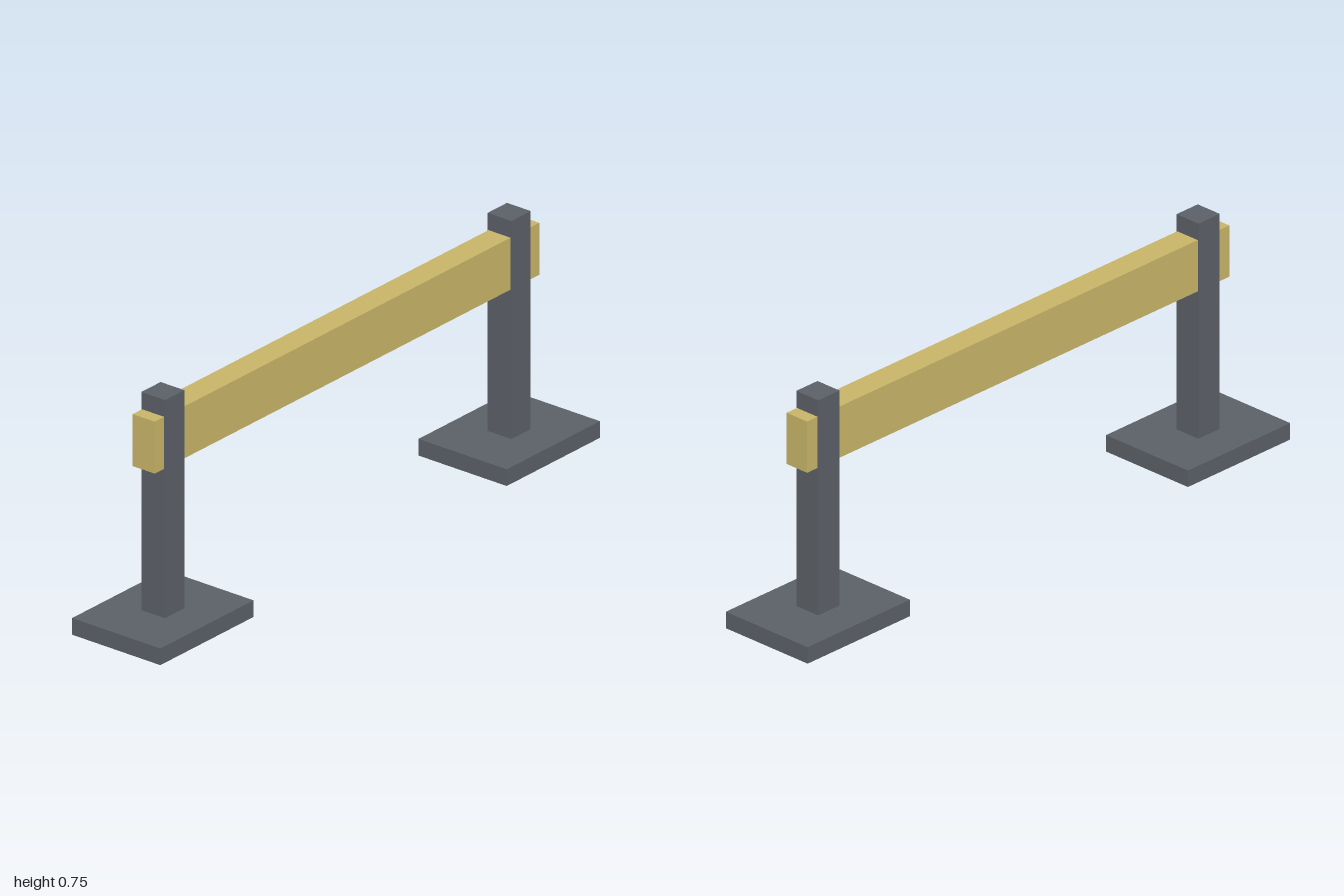
import * as THREE from 'three';

export function createModel() {
  const model = new THREE.Group();
  model.name = 'barrier';

  const steel = new THREE.MeshStandardMaterial({ color: 0x5b6067 });
  steel.name = 'dark grey';
  const rail = new THREE.MeshStandardMaterial({ color: 0xc8b467 });
  rail.name = 'sand yellow';

  // Box spanning y0..y1, centred on x and on z = 0
  const addBox = (name, material, x, y0, y1, width, depth) => {
    const mesh = new THREE.Mesh(new THREE.BoxGeometry(width, y1 - y0, depth), material);
    mesh.name = name;
    mesh.position.set(x, (y0 + y1) / 2, 0);
    model.add(mesh);
  };

  // Foot plate and post at each end; the post pokes slightly below its plate
  for (const [side, s] of [['left', 1], ['right', -1]]) {
    addBox(`${side}FootPlate`, steel, s * 0.788, 0.009, 0.062, 0.424, 0.328);
    addBox(`${side}Post`, steel, s * 0.788, 0, 0.755, 0.088, 0.088);
  }

  // Crossbar running through both posts
  addBox('crossbar', rail, 0, 0.536, 0.701, 1.75, 0.082);

  return model;
}
